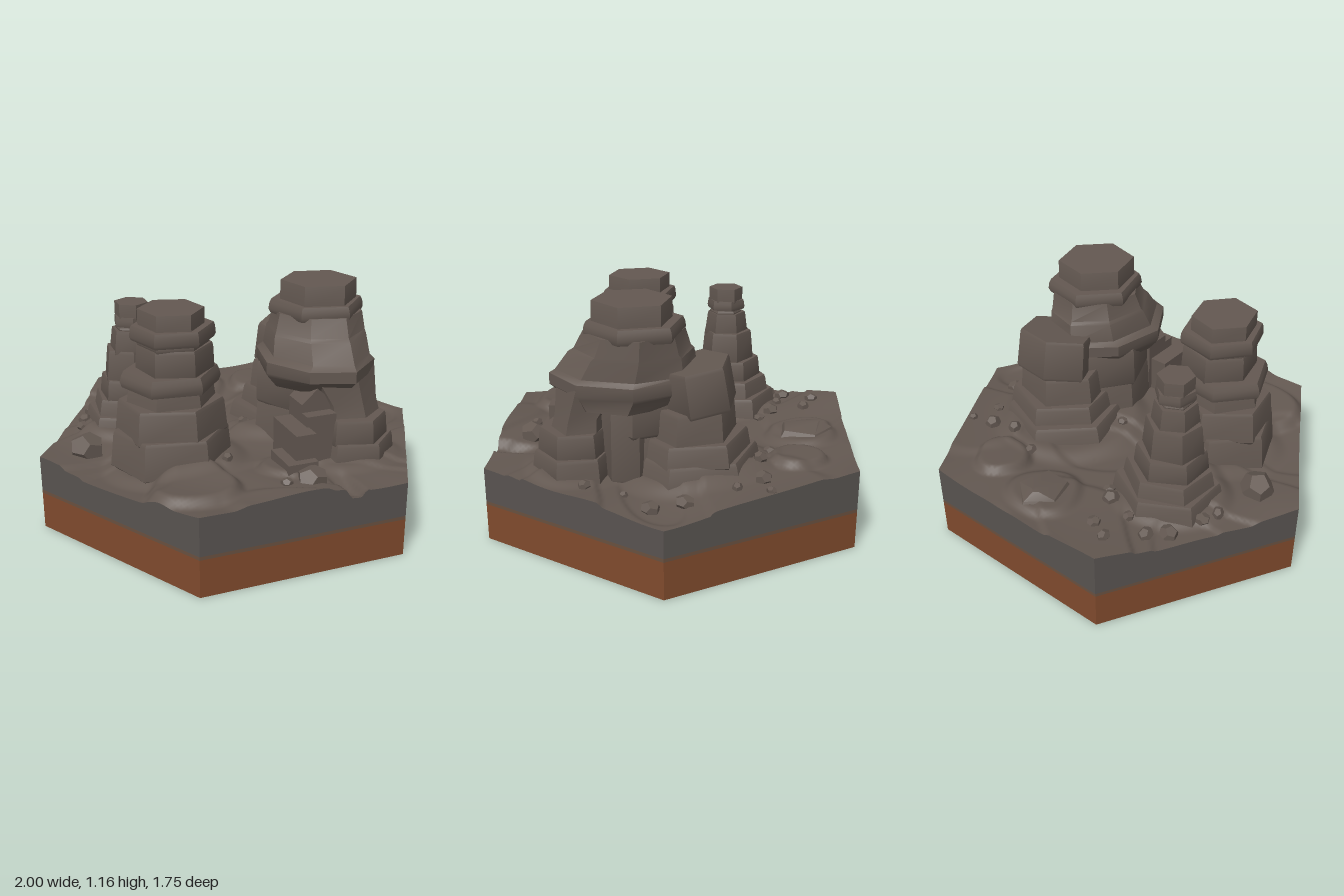
import * as THREE from 'three';
import { toCreasedNormals } from 'three/addons/utils/BufferGeometryUtils.js';

const mat = (name, color, side = THREE.FrontSide) => {
  const m = new THREE.MeshStandardMaterial({ color, side });
  m.name = name;
  return m;
};

let seed = 7;
const rand = () => (seed = (seed * 16807) % 2147483647) / 2147483647;
const DEPTH = 1.01; // the tile is a touch deeper than a regular hexagon
const corner = k => [Math.cos(k * Math.PI / 3), Math.sin(k * Math.PI / 3) * DEPTH];

// geometry from a flat list of triangle corners, hard edges kept
function fromTriangles(pos, crease = 0.55) {
  const g = new THREE.BufferGeometry();
  g.setAttribute('position', new THREE.Float32BufferAttribute(pos, 3));
  return toCreasedNormals(g, crease);
}

// closed stack of polygon rings: [y, cx, cz, rx, rz]
function loft(rings, rot = 0, jitter = 0.05, sides = 6) {
  const wobble = Array.from({ length: sides }, () => 1 + (rand() - 0.5) * 2 * jitter);
  const point = (j, i) => {
    const [y, cx, cz, rx, rz] = rings[j], k = i % sides;
    const a = rot + k / sides * Math.PI * 2;
    return [cx + rx * wobble[k] * Math.cos(a), y, cz + rz * wobble[k] * Math.sin(a)];
  };
  const pos = [], last = rings.length - 1;
  const mid = j => [rings[j][1], rings[j][0], rings[j][2]];
  for (let i = 0; i < sides; i++) {
    for (let j = 0; j < last; j++) {
      const a = point(j, i), b = point(j, i + 1), c = point(j + 1, i), d = point(j + 1, i + 1);
      pos.push(...a, ...c, ...b, ...b, ...c, ...d);
    }
    pos.push(...mid(last), ...point(last, i + 1), ...point(last, i));
    pos.push(...mid(0), ...point(0, i), ...point(0, i + 1));
  }
  return fromTriangles(pos);
}

// one rock layer with worn edges
function layer(y0, y1, cx, cz, rx, rz, rot, taper = 0.94, bevel = 0.015, sides = 6) {
  const ring = (y, s) => [y, cx, cz, rx * s, rz * s];
  return loft([ring(y0, 0.96), ring(y0 + bevel, 1), ring(y1 - bevel, taper), ring(y1, taper - bevel * 2)],
    rot, 0.03, sides);
}

const step = (e0, e1, v) => THREE.MathUtils.smoothstep(v, e0, e1);

// raised plates of the ground: x, z, radius, height
const PLATES = [
  [-0.42, 0.58, 0.23, 0.05], [0.32, -0.1, 0.42, 0.04], [-0.39, 0.2, 0.36, 0.03],
  [-0.46, -0.26, 0.3, 0.035], [0, -0.65, 0.2, 0.03], [0.34, -0.6, 0.15, 0.04], [0.42, 0.45, 0.27, 0.02],
  [0.06, 0.54, 0.15, 0.03],
];

function groundHeight(x, z) {
  let h = 0.345 + 0.055 * z * z;
  h += 0.01 * Math.sin(5 * x + 3 * z + Math.sin(6 * z)) + 0.006 * Math.sin(11 * x - 7 * z + 1);
  // broken shelves
  const shelf = Math.sin(6 * x + 3 * Math.sin(3 * z)) + Math.sin(7 * z - 3 * x);
  h += 0.016 * step(0.2, 0.5, shelf) - 0.012 * step(0.8, 1.1, -shelf);
  for (const [px, pz, r, up] of PLATES) {
    const d = Math.hypot(x - px, z - pz) / r + 0.05 * Math.sin(3 * Math.atan2(z - pz, x - px) + px * 9);
    h += up * (1 - step(0.72, 1, d));
  }
  // cleft at the front rim
  return h - 0.045 * (1 - step(0.02, 0.06, Math.abs(x - 0.24))) * step(0.6, 0.8, z);
}

function groundGeometries(base, n = 64) {
  const top = [], wall = [];
  for (let k = 0; k < 6; k++) {
    const [ux, uz] = corner(k), [vx, vz] = corner(k + 1);
    const p = (i, j) => {
      const x = (ux * i + vx * j) / n, z = (uz * i + vz * j) / n;
      return [x, groundHeight(x, z), z];
    };
    for (let i = 0; i < n; i++) {
      for (let j = 0; i + j < n; j++) {
        top.push(...p(i, j), ...p(i, j + 1), ...p(i + 1, j));
        if (i + j < n - 1) top.push(...p(i + 1, j), ...p(i, j + 1), ...p(i + 1, j + 1));
      }
      const c = p(n - i, i), d = p(n - i - 1, i + 1);
      const a = [c[0], base, c[2]], b = [d[0], base, d[2]];
      wall.push(...a, ...c, ...b, ...b, ...c, ...d);
    }
  }
  return [fromTriangles(top, 0.9), fromTriangles(wall)];
}

// flat polygon slab lying in the ground plane, with an optional hole
function slab(radius, sides, y0, y1, holeRadius = 0, holeSides = 8) {
  const ring = (r, n) => Array.from({ length: n }, (_, i) =>
    new THREE.Vector2(r * Math.cos(i / n * Math.PI * 2), r * DEPTH * Math.sin(i / n * Math.PI * 2)));
  const s = new THREE.Shape(ring(radius, sides));
  if (holeRadius) s.holes.push(new THREE.Path(ring(holeRadius, holeSides)));
  return new THREE.ExtrudeGeometry(s, { depth: y1 - y0, bevelEnabled: false })
    .rotateX(-Math.PI / 2).translate(0, y0, 0);
}

export function createModel() {
  seed = 7;
  const model = new THREE.Group();
  const rock = mat('rock grey', 0x635851), side = mat('cut stone grey', 0x585350);
  const earth = mat('earth brown', 0x7f4a2d), seam = mat('seam brown', 0x68503f);
  const socketGrey = mat('socket grey', 0x55504c, THREE.DoubleSide);
  const add = (name, geo, m = rock, parent = model) => {
    const mesh = new THREE.Mesh(geo, m);
    mesh.name = name;
    parent.add(mesh);
    return mesh;
  };
  const tower = (name, layers) => {
    const g = new THREE.Group();
    g.name = name;
    layers.forEach((l, i) => add(name + 'Layer' + (i + 1), layer(...l), rock, g));
    model.add(g);
    return g;
  };

  // tile base with a socket underneath
  add('earthBase', slab(1, 6, 0, 0.183, 0.39, 8), earth);
  add('soilSeam', slab(1, 6, 0.183, 0.2), seam);
  add('socketPlate', slab(0.39, 8, 0, 0.18, 0.185, 24), socketGrey);
  add('socketFloor', slab(0.186, 24, 0.12, 0.13), socketGrey);
  const [top, wall] = groundGeometries(0.2);
  add('ground', top);
  add('groundWall', wall, side);

  // round tower on the model's right
  tower('roundTower', [
    [0.34, 0.53, -0.405, 0.22, 0.3, 0.265, 0.2],
    [0.5, 0.67, -0.4, 0.21, 0.27, 0.24, 0.35],
    [0.65, 0.76, -0.4, 0.21, 0.21, 0.2, 0.1],
    [0.74, 0.82, -0.4, 0.21, 0.235, 0.225, 0.15, 0.97, 0.025],
    [0.8, 0.94, -0.38, 0.21, 0.18, 0.185, 0.3, 0.97],
    [0.93, 0.98, -0.385, 0.21, 0.17, 0.175, 0.25, 0.98],
    [0.96, 1.03, -0.385, 0.21, 0.2, 0.2, 0.2, 0.98],
    [1.01, 1.105, -0.39, 0.21, 0.155, 0.165, 0.25, 1, 0.003],
  ]);

  // slim stepped tower at the back
  const up = Math.PI / 6;
  tower('slimTower', [
    [0.34, 0.46, -0.45, -0.28, 0.27, 0.25, up],
    [0.44, 0.54, -0.45, -0.28, 0.225, 0.21, up + 0.1],
    [0.52, 0.64, -0.455, -0.27, 0.18, 0.17, up],
    [0.62, 0.79, -0.46, -0.265, 0.15, 0.14, up + 0.15, 0.9],
    [0.76, 0.89, -0.46, -0.255, 0.115, 0.115, up, 0.88],
    [0.88, 0.92, -0.455, -0.25, 0.085, 0.085, up],
    [0.91, 0.96, -0.455, -0.25, 0.1, 0.1, up + 0.2, 0.97],
    [0.95, 1.025, -0.455, -0.25, 0.085, 0.09, up, 1, 0.003],
  ]);

  // broken stump leaning on the great tower, its cap tilted
  const stump = tower('stump', [
    [0.34, 0.45, 0.36, -0.1, 0.32, 0.33, 0.3],
    [0.42, 0.54, 0.375, -0.09, 0.29, 0.29, 0.35],
    [0.52, 0.68, 0.375, -0.09, 0.24, 0.22, 0.25],
    [0.66, 0.87, 0.385, -0.12, 0.21, 0.185, 0.2, 0.96],
  ]).children[3];
  stump.geometry.translate(-0.38, -0.76, 0.11).rotateX(0.15).translate(0.38, 0.76, -0.11);

  // great tower: overhanging head
  add('greatTowerHead', loft([
    [0.68, 0.35, 0.23, 0.24, 0.25], [0.735, 0.33, 0.22, 0.265, 0.32], [0.755, 0.33, 0.22, 0.275, 0.345],
    [0.81, 0.33, 0.22, 0.275, 0.345], [0.83, 0.34, 0.21, 0.245, 0.325], [0.92, 0.35, 0.185, 0.235, 0.285],
    [0.935, 0.355, 0.18, 0.23, 0.265], [1.02, 0.365, 0.17, 0.215, 0.23],
  ], 0.6, 0.03, 8));
  add('greatTowerRing', layer(1.0, 1.07, 0.365, 0.165, 0.235, 0.245, 0.25, 0.98, 0.02));
  add('greatTowerCap', layer(1.05, 1.165, 0.365, 0.175, 0.19, 0.19, 0.26, 0.99, 0.003));

  // great tower: core and front column below the overhang
  tower('greatTowerCore', [
    [0.33, 0.57, 0.31, 0.14, 0.25, 0.26, 0.15],
    [0.55, 0.76, 0.315, 0.14, 0.245, 0.25, 0.1, 0.98],
  ]);
  add('sideNicheBlock', layer(0.33, 0.68, 0.44, 0.2, 0.13, 0.13, 0.52, 0.97));
  tower('frontColumn', [
    [0.33, 0.46, 0.44, 0.45, 0.21, 0.2, 0.3],
    [0.44, 0.57, 0.43, 0.45, 0.18, 0.175, 0.35],
  ]);
  add('frontColumnNeck', loft([
    [0.54, 0.42, 0.43, 0.155, 0.14], [0.63, 0.41, 0.42, 0.145, 0.125], [0.79, 0.36, 0.36, 0.2, 0.18],
  ], 0.3));

  // pointed doorway slab with stepped blocks beside it
  const door = new THREE.Shape([[-0.08, 0], [0.08, 0], [0.08, 0.33], [0, 0.4], [-0.08, 0.33]]
    .map(p => new THREE.Vector2(...p)));
  add('doorArch', new THREE.ExtrudeGeometry(door, { depth: 0.14, bevelEnabled: false })
    .translate(0.23, 0.32, 0.34));
  [[0.225, 0.44, 0.15, 0.27, 0.2], [0.11, 0.49, 0.1, 0.22, 0.26], [0.08, 0.56, 0.15, 0.1, 0.2]]
    .forEach(([x, z, w, h, d], i) =>
      add('doorStep' + (i + 1), new THREE.BoxGeometry(w, h, d).translate(x, 0.34 + h / 2, z)));

  // jagged outcrops along the back
  add('backSpike', loft([[0.32, 0, -0.65, 0.17, 0.18], [0.41, 0, -0.66, 0.11, 0.13],
    [0.44, -0.01, -0.72, 0.02, 0.02]], -Math.PI / 2, 0.1, 5));

  // scattered boulders: x, z, radius
  [[-0.43, -0.73, 0.035], [-0.33, -0.68, 0.035], [-0.55, -0.58, 0.04], [-0.62, -0.5, 0.05],
    [-0.42, -0.54, 0.03], [-0.28, -0.5, 0.045], [-0.22, -0.44, 0.03], [-0.7, -0.35, 0.035],
    [-0.73, -0.27, 0.035], [0.27, -0.47, 0.03], [0.43, -0.42, 0.04], [0.58, -0.43, 0.05],
    [0.7, -0.46, 0.025], [0.66, -0.31, 0.03], [0.76, -0.08, 0.045], [0.8, 0.07, 0.045],
    [0.68, 0.2, 0.025], [0.65, 0.38, 0.03], [0.1, 0.71, 0.075], [-0.03, 0.72, 0.03],
    [-0.77, 0, 0.1], [-0.2, 0.42, 0.03], [0.05, -0.01, 0.03],
  ].forEach(([x, z, r], i) => {
    const m = add('boulder' + (i + 1), new THREE.DodecahedronGeometry(r));
    m.position.set(x, groundHeight(x, z) + r * 0.2, z);
    m.scale.set(0.8 + rand() * 0.25, 0.8, 0.85 + rand() * 0.3);
    m.rotation.y = rand() * 6;
  });
  return model;
}
